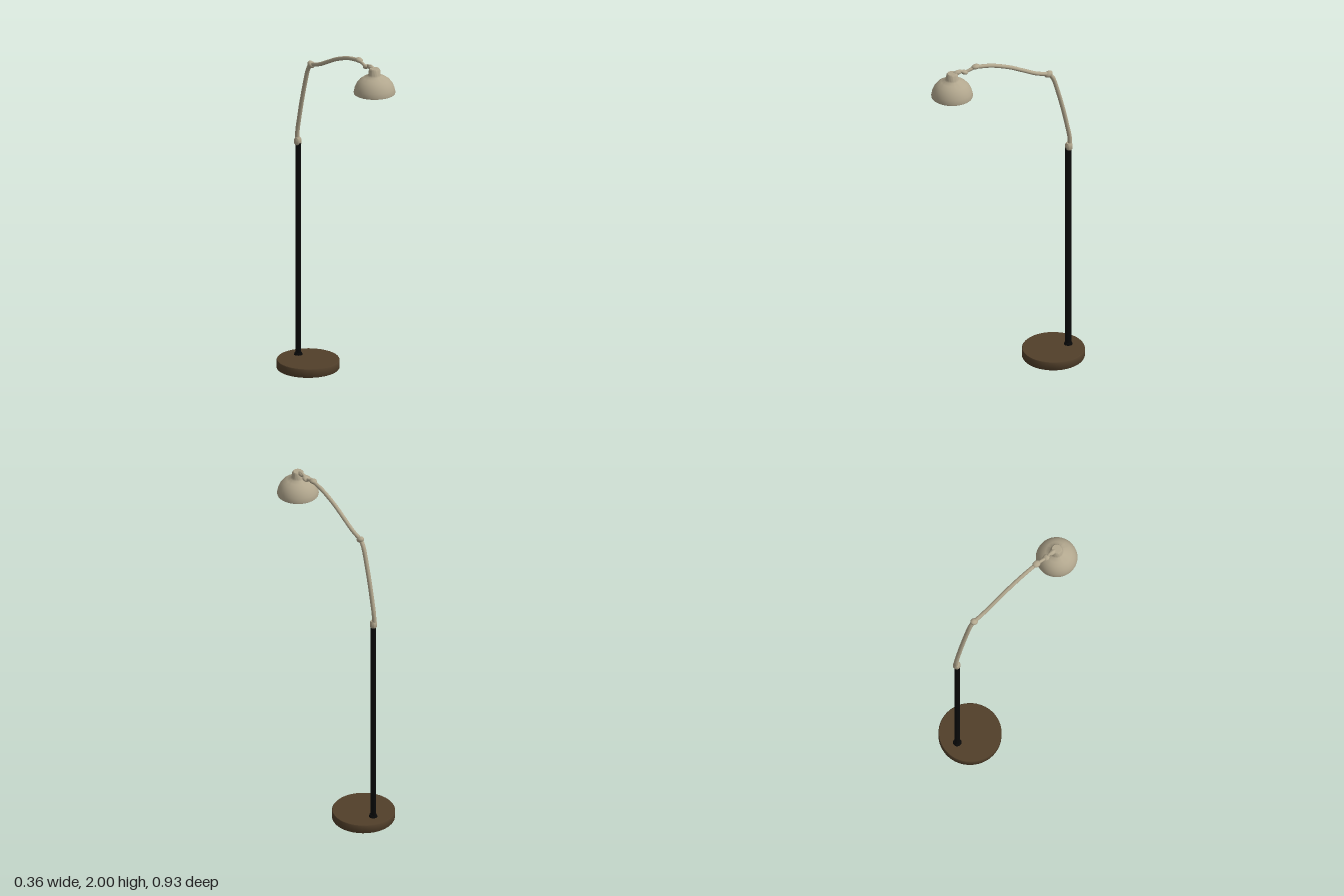
import * as THREE from 'three';
import { toCreasedNormals } from 'three/addons/utils/BufferGeometryUtils.js';

const makeMaterial = (name, color) => {
  const m = new THREE.MeshStandardMaterial({ color });
  m.name = name;
  return m;
};

export function createModel() {
  const wood = makeMaterial('dark wood', 0x513f2a);
  const black = makeMaterial('black metal', 0x090909);
  const cream = makeMaterial('cream enamel', 0xb2a78e);
  const lamp = new THREE.Group();
  lamp.name = 'floorLamp';

  const add = (name, geometry, material, x = 0, y = 0, z = 0) => {
    const mesh = new THREE.Mesh(geometry, material);
    mesh.name = name;
    mesh.position.set(x, y, z);
    lamp.add(mesh);
    return mesh;
  };
  // Profiles are [radius, y], running upwards on the outside
  const lathe = (points, segments) => toCreasedNormals(
    new THREE.LatheGeometry(points.map(([r, y]) => new THREE.Vector2(r, y)), segments), 0.7);
  // Smooth arm through [y, z] points in the plane x = 0
  const arm = (name, points, radius) => add(name, new THREE.TubeGeometry(
    new THREE.CatmullRomCurve3(points.map(([y, z]) => new THREE.Vector3(0, y, z))),
    28, radius, 12), cream);
  const joint = (name, y, z, sx, sy, sz, tilt = 0) => {
    const mesh = add(name, new THREE.SphereGeometry(1, 18, 12), cream, 0, y, z);
    mesh.scale.set(sx, sy, sz);
    mesh.rotation.x = tilt;
  };

  // Round base, hollow underneath
  add('base', lathe([[0, 0.038], [0.166, 0.038], [0.166, 0], [0.176, 0],
    [0.178, 0.004], [0.178, 0.047], [0.175, 0.051], [0, 0.051]], 48), wood, 0, 0, -0.285);

  // Oval pole with a small foot collar
  const poleZ = -0.378;
  add('pole', new THREE.CylinderGeometry(0.0185, 0.0185, 1.27, 20), black, 0, 0.685, poleZ).scale.x = 0.75;
  add('poleCollar', new THREE.CylinderGeometry(0.02, 0.025, 0.014, 20), black, 0, 0.057, poleZ);

  // Socket on top of the pole
  add('armSocket', lathe([[0, 1.308], [0.017, 1.308], [0.021, 1.315], [0.021, 1.338],
    [0.016, 1.35], [0, 1.352]], 20), cream, 0, 0, -0.382);

  // Curved arm sections and their joints
  arm('lowerArm', [[1.335, -0.388], [1.39, -0.386], [1.47, -0.37], [1.56, -0.35],
    [1.7, -0.313], [1.79, -0.284], [1.822, -0.262]], 0.0125);
  arm('upperArm', [[1.825, -0.255], [1.847, -0.18], [1.89, -0.09], [1.926, -0.015],
    [1.965, 0.1], [1.981, 0.2]], 0.0115);
  arm('shadeArm', [[1.981, 0.2], [1.972, 0.235], [1.963, 0.265], [1.976, 0.295],
    [1.977, 0.32], [1.96, 0.343]], 0.009);
  joint('elbowJoint', 1.825, -0.255, 0.02, 0.017, 0.025, 0.5);
  joint('wristJoint', 1.983, 0.2, 0.02, 0.014, 0.025, 0.1);
  joint('shadeJoint', 1.964, 0.27, 0.019, 0.013, 0.022, -0.4);
  joint('shadeHook', 1.972, 0.313, 0.015, 0.013, 0.024);

  // Open bell shade with a neck, inner wall first
  add('shade', lathe([[0, 1.92], [0.04, 1.915], [0.073, 1.9], [0.094, 1.875],
    [0.104, 1.85], [0.107, 1.829], [0.117, 1.829], [0.118, 1.836], [0.113, 1.86],
    [0.102, 1.886], [0.084, 1.908], [0.062, 1.923], [0.04, 1.932], [0.035, 1.941],
    [0.032, 1.968], [0.026, 1.975], [0, 1.976]], 40), cream, 0, 0, 0.347);

  return lamp;
}
